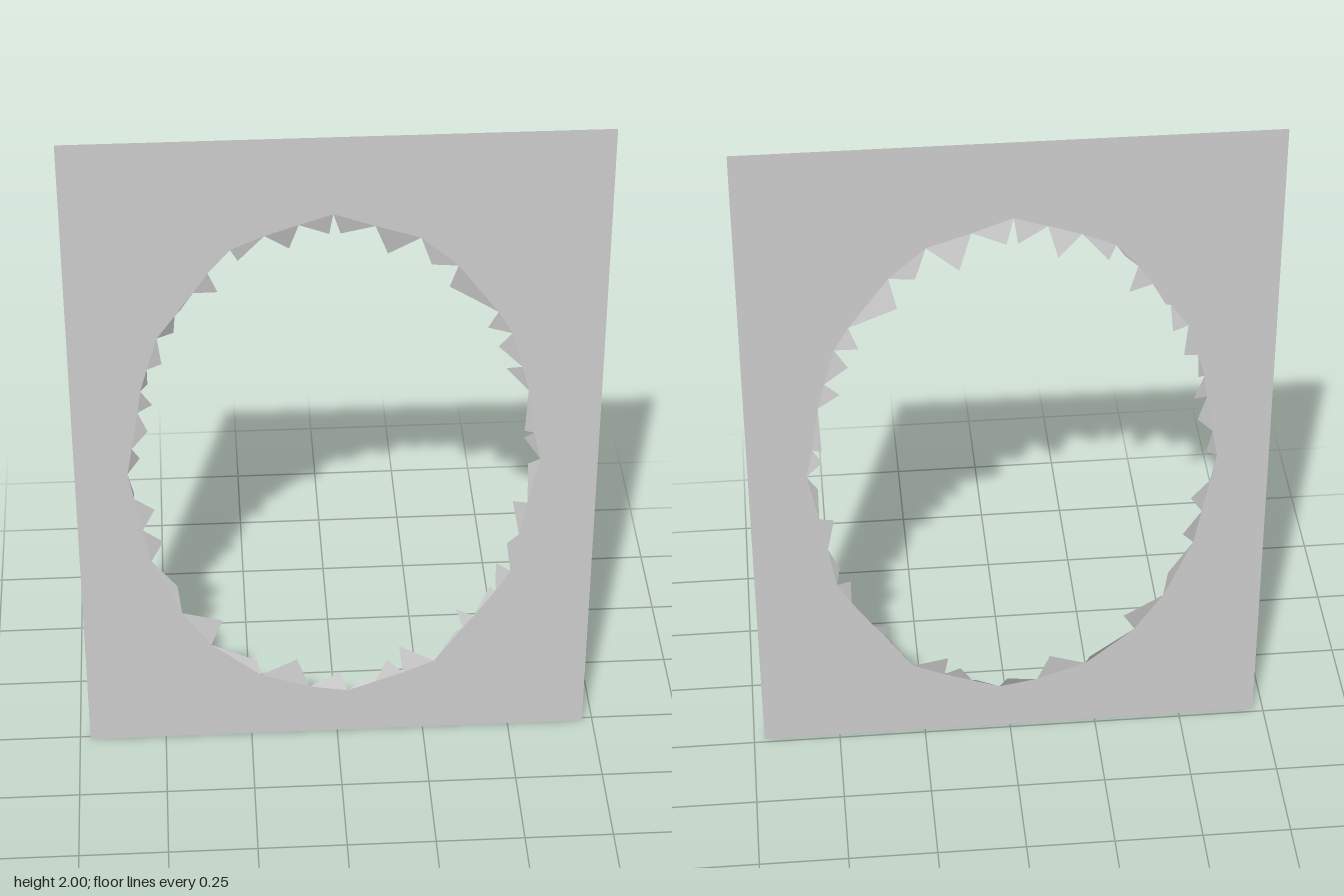
import * as THREE from 'three';

// Torn rim, clockwise from the top, x,y in hundredths of a unit:
// rim points lie on the sheet, tips are the free corners of the bent flaps.
const RIM = [
  -1, 177, 10, 173, 22, 169, 32, 160, 43, 145, 47, 138, 50, 127, 52, 119, 54, 105, 56, 96,
  53, 81, 51, 70, 49, 57, 45, 50, 39, 41, 36, 37, 28, 25, 19, 21, 11, 18, 3, 15,
  -8, 17, -22, 22, -36, 34, -44, 46, -52, 65, -54, 76, -56, 87, -57.5, 95.5, -56, 104, -54, 116,
  -53, 123, -51, 130, -48, 140, -43, 147, -38, 154, -34, 160, -28, 167, -19, 171, -10, 174,
];
const TIPS = [
  1, 170, 13.5, 163, 25, 160, 30, 152, 40.5, 139, 43.5, 133, 46, 125, 51.5, 105, 51.5, 102, 53, 93,
  49, 81, 48, 65, 45, 59, 43.5, 50.5, 34, 42, 34, 35, 18, 29, 14.5, 24.5, 10, 19, 1, 20,
  -11.5, 26.5, -23, 26, -32.5, 41, -45, 55, -48.5, 70, -50.5, 82, -56, 88, -54, 99, -51.5, 109, -50, 117,
  -51, 124, -47, 131, -43.5, 140, -41.5, 148, -31.5, 153, -30, 165, -26, 163, -12.5, 165.5, -2, 170,
];
const HALF_WIDTH = 0.72, HEIGHT = 2, SHEET_Z = 0.012;

const toPoints = (list) => {
  const points = [];
  for (let i = 0; i < list.length; i += 2) {
    points.push(new THREE.Vector2(list[i] / 100, list[i + 1] / 100));
  }
  return points;
};

export function createModel() {
  const model = new THREE.Group();
  model.name = 'tornSheet';
  const material = new THREE.MeshStandardMaterial({
    color: 0xcccccc, flatShading: true, side: THREE.DoubleSide,
  });
  const rim = toPoints(RIM), tips = toPoints(TIPS);

  // Thin rectangular sheet with the oval opening
  const outline = new THREE.Shape([
    new THREE.Vector2(-HALF_WIDTH, 0), new THREE.Vector2(HALF_WIDTH, 0),
    new THREE.Vector2(HALF_WIDTH, HEIGHT), new THREE.Vector2(-HALF_WIDTH, HEIGHT),
  ]);
  outline.holes.push(new THREE.Path(rim));
  const sheet = new THREE.Mesh(new THREE.ShapeGeometry(outline), material);
  sheet.name = 'sheet';
  sheet.position.z = SHEET_Z;
  model.add(sheet);

  // Triangular flaps around the opening, bent backwards by varying amounts
  const corners = [];
  rim.forEach((a, i) => {
    const b = rim[(i + 1) % rim.length], tip = tips[i];
    const bend = 0.017 + 0.008 * Math.sin(i * 2.4);
    corners.push(a.x, a.y, SHEET_Z, b.x, b.y, SHEET_Z, tip.x, tip.y, SHEET_Z - bend);
  });
  const flapGeometry = new THREE.BufferGeometry();
  flapGeometry.setAttribute('position', new THREE.Float32BufferAttribute(corners, 3));
  // The corners run clockwise seen from the front, so turn them to face +z
  flapGeometry.setIndex(rim.flatMap((_, i) => [3 * i, 3 * i + 2, 3 * i + 1]).reverse());
  flapGeometry.computeVertexNormals();
  const flaps = new THREE.Mesh(flapGeometry, material);
  flaps.name = 'tornFlaps';
  model.add(flaps);

  return model;
}
